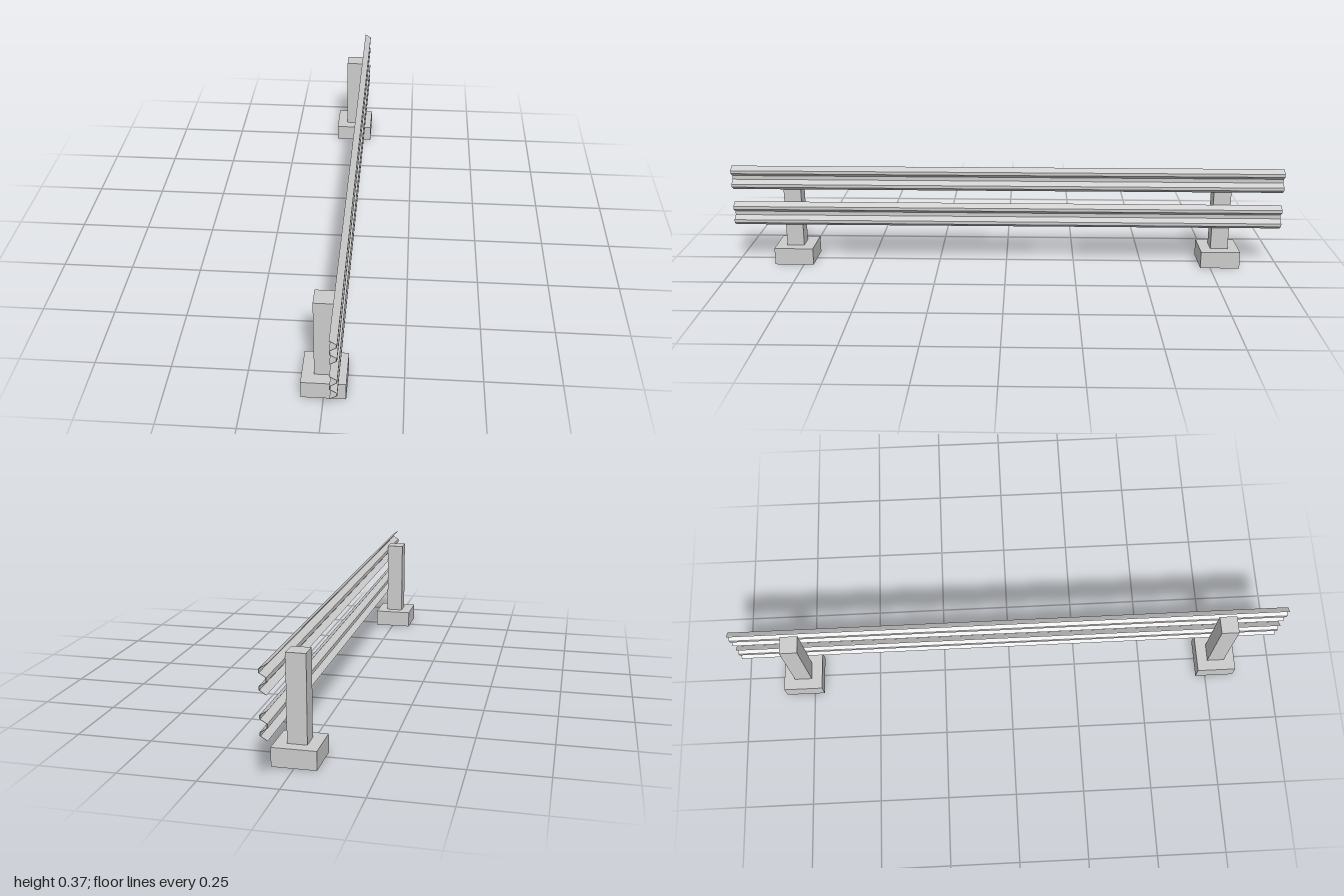
import * as THREE from 'three';

const material = new THREE.MeshStandardMaterial({ color: 0xcccccc, flatShading: true });

function box(name, w, h, d, x, y, z) {
  const mesh = new THREE.Mesh(new THREE.BoxGeometry(w, h, d), material);
  mesh.name = name;
  mesh.position.set(x, y, z);
  return mesh;
}

// Thin corrugated W-section, swept along z
function railGeometry() {
  const half = [[0.034, 0.044], [0.0545, 0.031], [0.0545, 0.02], [0.034, 0.007]];
  const face = [...half, ...half.map(([x, y]) => [x, -y]).reverse()];
  const thickness = 0.0025;
  const back = face.map(([x, y]) => [x - thickness, y]).reverse();
  const shape = new THREE.Shape([...face, ...back].map(([x, y]) => new THREE.Vector2(x, y)));
  const geometry = new THREE.ExtrudeGeometry(shape, { depth: 2, bevelEnabled: false });
  geometry.translate(0, 0, -1);
  return geometry;
}

export function createModel() {
  const model = new THREE.Group();
  model.name = 'guardRail';

  // Posts on square footings
  for (const [side, z] of [['front', 0.785], ['back', -0.785]]) {
    const support = new THREE.Group();
    support.name = side + 'Support';
    support.add(box('footing', 0.142, 0.062, 0.142, 0, 0.031, z));
    support.add(box('post', 0.063, 0.286, 0.063, 0, 0.205, z));
    model.add(support);
  }

  // Two rails along the left side
  const geometry = railGeometry();
  for (const [name, y] of [['upperRail', 0.324], ['lowerRail', 0.188]]) {
    const rail = new THREE.Mesh(geometry, material);
    rail.name = name;
    rail.position.y = y;
    model.add(rail);
  }
  return model;
}
